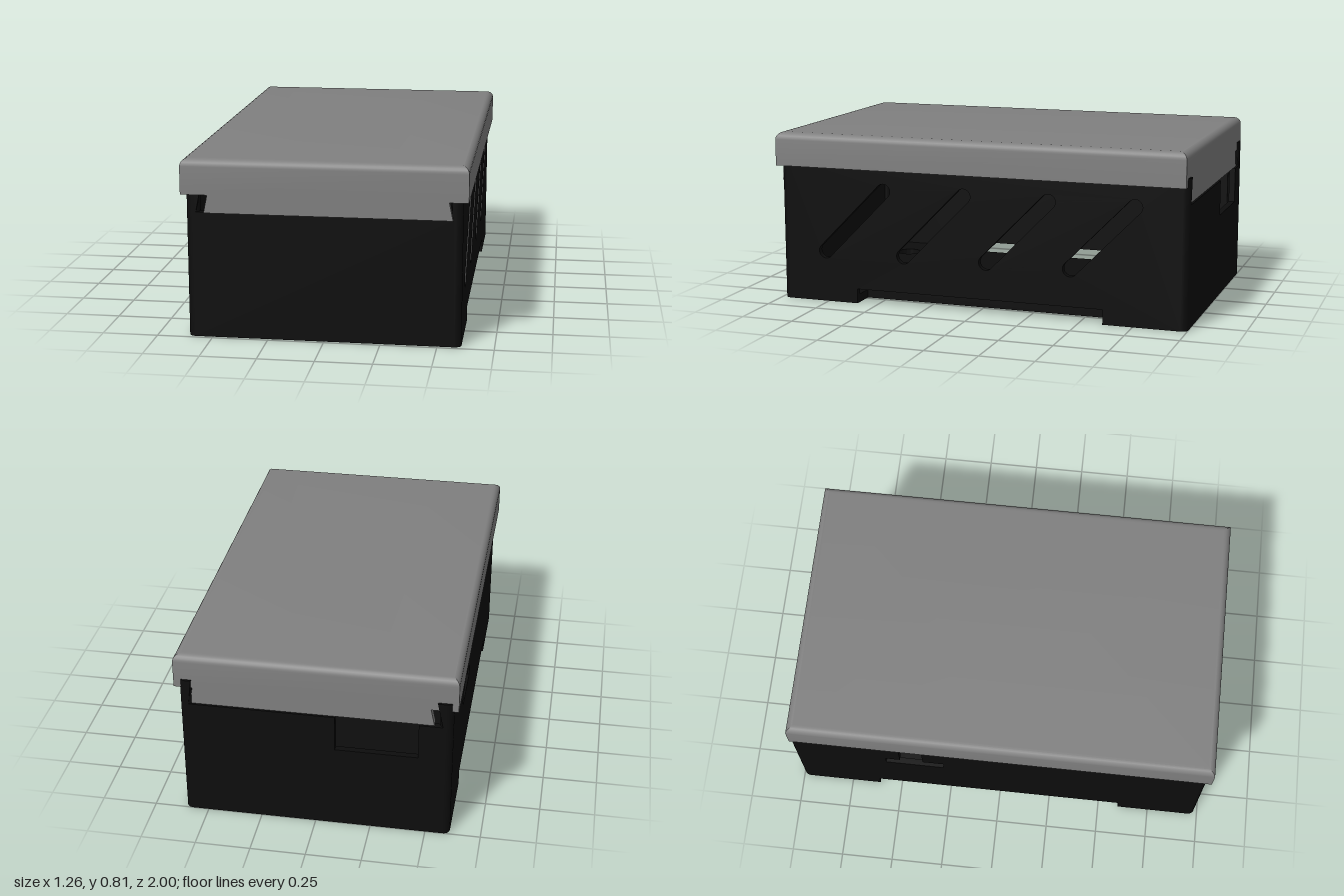
import * as THREE from 'three';
import { toCreasedNormals } from 'three/addons/utils/BufferGeometryUtils.js';

const dark = new THREE.MeshStandardMaterial({ color: 0x0d0d0d });
const grey = new THREE.MeshStandardMaterial({ color: 0x808080 });
const WALL = 0.03;
const BOX = { left: 0.605, right: -0.61, front: 0.985, back: -1, top: 0.69 };
const LID = { halfX: 0.63, front: 1, back: -0.99, bottom: 0.65, top: 0.81 };

const polygon = (pts, Type = THREE.Shape) => new Type(pts.map(([x, y]) => new THREE.Vector2(x, y)));
const plate = (shape, depth) =>
  new THREE.ExtrudeGeometry(shape, { depth, bevelEnabled: false, curveSegments: 10 });

function add(parent, name, geometry, material) {
  const mesh = new THREE.Mesh(geometry, material);
  mesh.name = name;
  parent.add(mesh);
  return mesh;
}

// Side wall drawn in (z, y), with the long ventilation notch along its foot
function sideWall(holes, outerX, isLeft) {
  const f = BOX.front - WALL, b = BOX.back + WALL;
  const shape = polygon([
    [b, 0], [-0.61, 0], [-0.61, 0.07], [0.6, 0.07], [0.6, 0], [f, 0], [f, BOX.top], [b, BOX.top],
  ]);
  shape.holes.push(...holes);
  return plate(shape, WALL).rotateY(-Math.PI / 2).translate(isLeft ? outerX : outerX + WALL, 0, 0);
}

// Diagonal slit with round ends between (z0, y0) and (z1, y1)
function slit(z0, y0, z1, y1, r) {
  const a = Math.atan2(y1 - y0, z1 - z0);
  const path = new THREE.Path();
  path.absarc(z1, y1, r, a - Math.PI / 2, a + Math.PI / 2, false);
  path.absarc(z0, y0, r, a + Math.PI / 2, a + Math.PI * 1.5, false);
  path.closePath();
  return path;
}

// End wall drawn in (x, y), with a dovetail opening for the lid tab
function endWall(opening, z) {
  const l = BOX.left - WALL, r = BOX.right + WALL;
  const shape = polygon([
    [r, 0], [l, 0], [l, BOX.top], [0.55, BOX.top], [0.565, 0.57],
    ...opening, [-0.565, 0.57], [-0.54, BOX.top], [r, BOX.top],
  ]);
  return plate(shape, WALL).translate(0, 0, z);
}

// Floor drawn in (x, z), notched along both sides and drilled in two zigzag rows
function floorPlate() {
  const l = BOX.left - WALL, r = BOX.right + WALL, f = BOX.front - WALL, b = BOX.back + WALL;
  const gapL = BOX.left - 0.12, gapR = BOX.right + 0.12;
  const shape = polygon([
    [r, b], [l, b], [l, -0.61], [gapL, -0.61], [gapL, 0.6], [l, 0.6],
    [l, f], [r, f], [r, 0.6], [gapR, 0.6], [gapR, -0.61], [r, -0.61],
  ]);
  for (let i = 0; i < 5; i++) {
    for (const [even, odd] of [[0.735, 0.56], [-0.76, -0.59]]) {
      const hole = new THREE.Path();
      hole.absarc(0.345 - 0.176 * i, i % 2 ? odd : even, 0.06, 0, Math.PI * 2, true);
      shape.holes.push(hole);
    }
  }
  return plate(shape, 0.04).rotateX(Math.PI / 2).translate(0, 0.04, 0);
}

// Hollow lid: rectangular rings lofted from the inner ceiling, round the rim, over the rounded top
function lidShell() {
  const t = 0.018, r = 0.035, profile = [[0.63, 0.77], [t, 0.77], [t, LID.bottom], [0, LID.bottom]];
  for (let i = 0; i <= 6; i++) {
    const a = (i / 6) * Math.PI / 2;
    profile.push([r * (1 - Math.cos(a)), LID.top - r + r * Math.sin(a)]);
  }
  profile.push([0.63, LID.top]);
  const rings = profile.map(([inset, y]) => {
    const x = LID.halfX - inset, f = LID.front - inset, b = LID.back + inset;
    return [[x, y, f], [x, y, b], [-x, y, b], [-x, y, f]];
  });
  const pos = [];
  for (let i = 0; i + 1 < rings.length; i++) {
    for (let k = 0; k < 4; k++) {
      const n = (k + 1) % 4;
      const a = rings[i][k], b = rings[i][n], c = rings[i + 1][n], d = rings[i + 1][k];
      pos.push(...a, ...b, ...c, ...a, ...c, ...d);
    }
  }
  const geo = new THREE.BufferGeometry();
  geo.setAttribute('position', new THREE.Float32BufferAttribute(pos, 3));
  return toCreasedNormals(geo, 0.5);
}

export function createModel() {
  const model = new THREE.Group();
  model.name = 'enclosure';

  const box = new THREE.Group();
  box.name = 'box';
  model.add(box);

  // Left wall with four slits, right wall with a stepped port
  const slits = [0.46, 0.06, -0.35, -0.755].map((z) => slit(z + 0.3, 0.245, z, 0.55, 0.035));
  add(box, 'leftWall', sideWall(slits, BOX.left, true), dark);
  const port = polygon([
    [-0.55, 0.395], [-0.27, 0.395], [-0.27, 0.455], [-0.37, 0.455],
    [-0.37, 0.6], [-0.48, 0.6], [-0.48, 0.455], [-0.55, 0.455],
  ], THREE.Path);
  add(box, 'rightWall', sideWall([port], BOX.right, false), dark);

  // Front wall, and back wall with the cable opening
  add(box, 'frontWall', endWall([], BOX.front - WALL), dark);
  const cableOpening = [[-0.09, 0.57], [-0.09, 0.4], [-0.46, 0.4], [-0.46, 0.57]];
  add(box, 'backWall', endWall(cableOpening, BOX.back), dark);

  // Rounded upright corners
  for (const x of [BOX.left - WALL, BOX.right + WALL]) {
    for (const z of [BOX.front - WALL, BOX.back + WALL]) {
      const post = new THREE.CylinderGeometry(WALL, WALL, BOX.top, 24);
      add(box, 'cornerPost', post, dark).position.set(x, BOX.top / 2, z);
    }
  }
  add(box, 'floor', floorPlate(), dark);

  const lid = new THREE.Group();
  lid.name = 'lid';
  model.add(lid);
  add(lid, 'lidShell', lidShell(), grey);

  // Dovetail tabs at both ends
  const tab = polygon([[-0.527, 0.57], [0.563, 0.57], [0.54, 0.68], [-0.504, 0.68]]);
  add(lid, 'frontTab', plate(tab, 0.04).translate(0, 0, LID.front - 0.0405), grey);
  add(lid, 'backTab', plate(tab, 0.04).translate(0, 0, LID.back + 0.0005), grey);

  // Inner locating ribs along the sides
  for (const side of [-1, 1]) {
    const rib = new THREE.BoxGeometry(0.02, 0.2, 1.84);
    add(lid, 'innerRib', rib, grey).position.set(side * 0.49, 0.67, 0);
  }
  return model;
}
